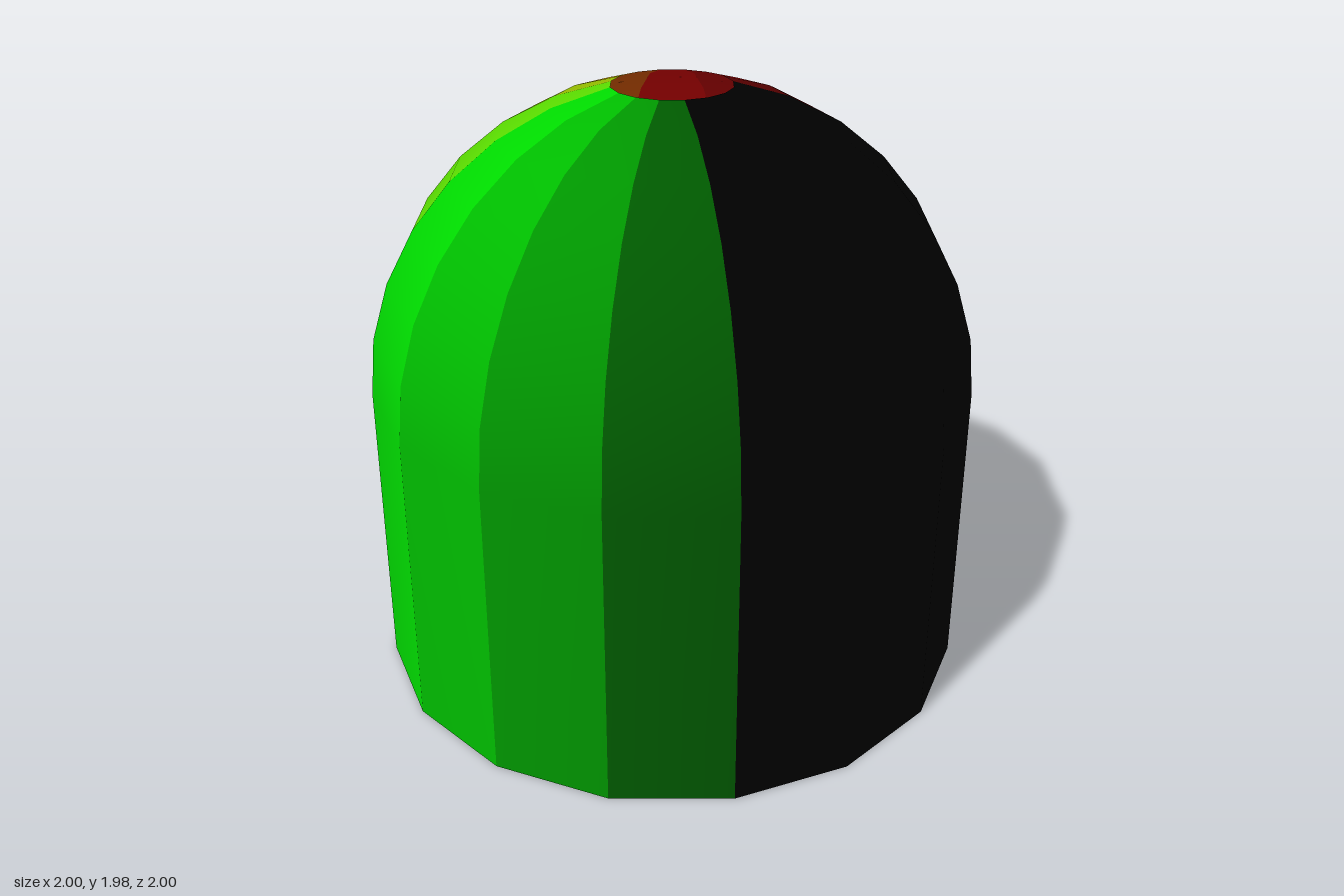
import * as THREE from 'three';

const SIDES = 16; // sides of the shell
const ARC_STEPS = 8; // steps of the quarter circle from wall to crown

// Upright wall, then a quarter circle that stops one step short, leaving a round hole
function shellProfile() {
  const points = [new THREE.Vector2(1, 0)];
  for (let i = 0; i < ARC_STEPS; i++) {
    const a = (i / ARC_STEPS) * Math.PI / 2;
    points.push(new THREE.Vector2(Math.cos(a), 1 + Math.sin(a)));
  }
  return points;
}

// Tint that is full at one direction and fades to nothing a quarter turn away
function fade(angle, centre) {
  return 0.8 * Math.max(0, 1 - Math.abs(angle - centre) / (Math.PI / 2));
}

export function createModel() {
  const model = new THREE.Group();
  model.name = 'domedShell';
  const profile = shellProfile();
  const step = (Math.PI * 2) / SIDES;

  // One thin panel per side: red at the back, green at the -x side, black elsewhere
  for (let i = 0; i < SIDES; i++) {
    const middle = (i + 0.5) * step;
    const material = new THREE.MeshStandardMaterial({ side: THREE.DoubleSide });
    material.color.setRGB(fade(middle, Math.PI), fade(middle, Math.PI * 1.5), 0);
    const panel = new THREE.Mesh(new THREE.LatheGeometry(profile, 1, i * step, step), material);
    panel.name = `shellPanel${i + 1}`;
    model.add(panel);
  }
  return model;
}
